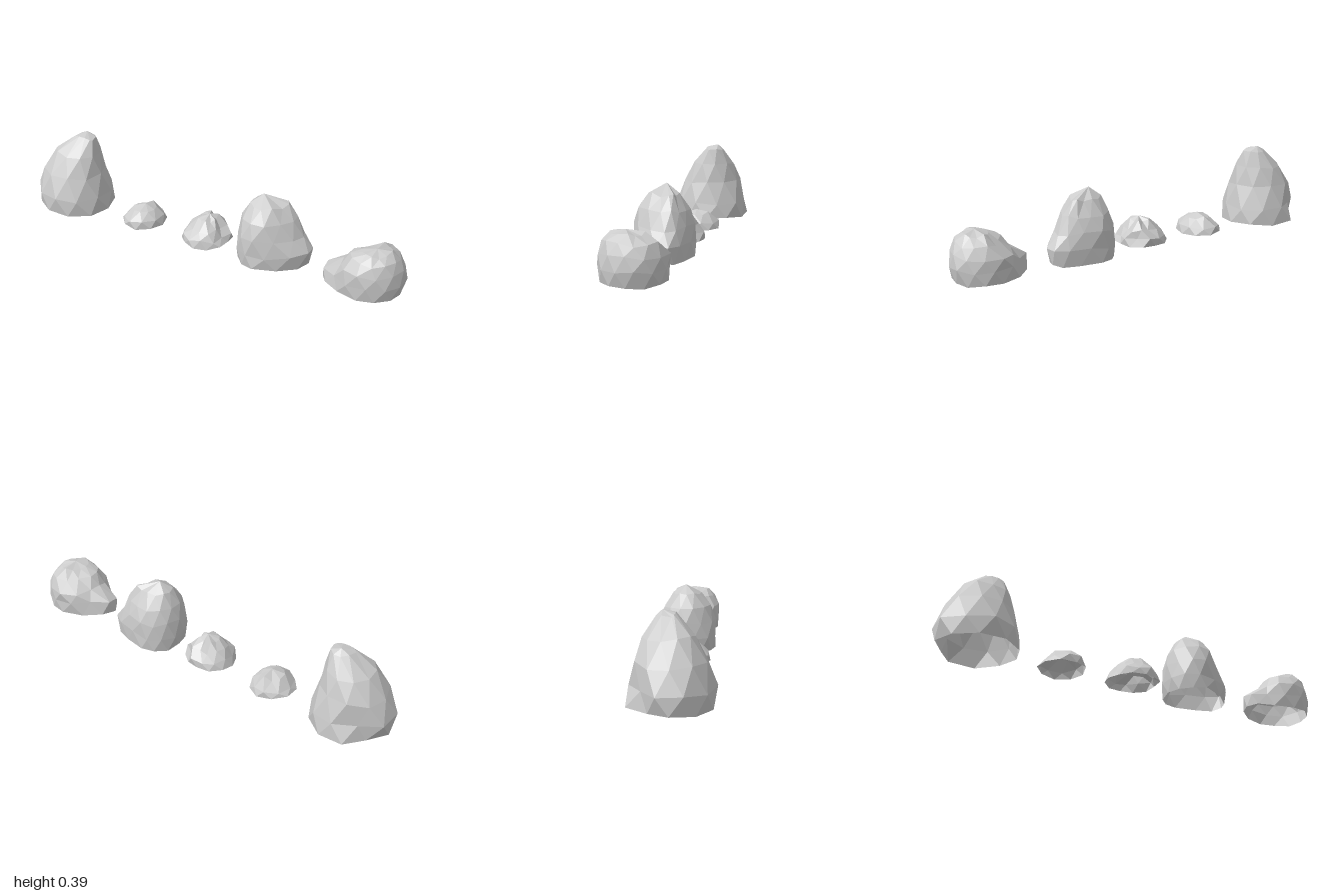
import * as THREE from 'three';

// Small seeded generator so every rock keeps the same chips
function seeded(seed) {
  let s = seed;
  return () => {
    s = (s * 16807) % 2147483647;
    return s / 2147483647 - 0.5;
  };
}

/* One hollow, open-bottomed rock lofted from irregular rings.
   rings: [y, xMin, xMax, zMin, zMax], from the ground up
   axis:  [x, z] centre line;  peak: [x, y, z] top point
   tip:   direction of a pointed end along x (+1 / -1), with pinch and z skew
   dents: [ring, side, scale] vertices drawn towards the axis for cracks */
function rockGeometry({ sides, rings, axis, peak, tip = 0, pinch = 0, skew = 0, dents = [], rough = 0.06, seed }) {
  const rand = seeded(seed);
  const [cx, cz] = axis;
  const pos = [];
  rings.forEach(([y, x0, x1, z0, z1], r) => {
    const mx = r > rings.length - 3 ? (x0 + x1) / 2 : cx;
    for (let i = 0; i < sides; i++) {
      const a = ((i + (r % 2) / 2) / sides) * Math.PI * 2;
      const c = Math.cos(a), s = Math.sin(a);
      const t = Math.max(0, c * tip);
      const dent = dents.find(d => d[0] === r && d[1] === i);
      const k = (1 + rand() * rough) * (dent ? dent[2] : 1);
      const dx = (c > 0 ? x1 - mx : mx - x0) * c * k;
      const dz = ((s > 0 ? z1 - cz : cz - z0) * s * (1 - pinch * t) + skew * t * t) * k;
      pos.push(mx + dx, y + rand() * (r === 0 ? 0.012 : 0.02), cz + dz);
    }
  });
  pos.push(...peak);

  const index = [];
  const top = rings.length * sides;
  for (let r = 0; r < rings.length; r++) {
    for (let i = 0; i < sides; i++) {
      const j = (i + 1) % sides;
      const a = r * sides + i, b = r * sides + j;
      if (r === rings.length - 1) { index.push(a, top, b); continue; }
      const c = a + sides, d = b + sides;
      if (r % 2 === 0) index.push(a, c, b, b, c, d);
      else index.push(a, c, d, a, d, b);
    }
  }
  const geo = new THREE.BufferGeometry();
  geo.setAttribute('position', new THREE.Float32BufferAttribute(pos, 3));
  geo.setIndex(index);
  const flat = geo.toNonIndexed();
  flat.computeVertexNormals();
  return flat;
}

const ROCKS = {
  // Tall leaning rock with a notch low at the back
  tallRock: {
    sides: 10, seed: 11, axis: [-0.79, 0], peak: [-0.74, 0.4, -0.04], rough: 0.05,
    rings: [
      [0.014, -0.99, -0.6, -0.185, 0.18],
      [0.095, -1.0, -0.615, -0.18, 0.19],
      [0.2, -0.955, -0.64, -0.15, 0.15],
      [0.3, -0.89, -0.66, -0.12, 0.095],
      [0.378, -0.79, -0.68, -0.07, 0.015],
    ],
    dents: [[0, 6, 0.84], [1, 6, 0.8], [0, 7, 1.04]],
  },
  // Smallest low pebble
  smallPebble: {
    sides: 9, seed: 23, axis: [-0.38, 0], peak: [-0.37, 0.108, 0],
    rings: [
      [0.018, -0.49, -0.27, -0.12, 0.115],
      [0.05, -0.475, -0.285, -0.11, 0.11],
      [0.088, -0.43, -0.32, -0.06, 0.06],
    ],
  },
  // Cracked pebble, broken up on one side
  crackedPebble: {
    sides: 12, seed: 37, axis: [-0.015, 0.005], peak: [0, 0.155, 0], rough: 0.1,
    rings: [
      [0.028, -0.14, 0.11, -0.115, 0.13],
      [0.06, -0.125, 0.11, -0.115, 0.125],
      [0.1, -0.095, 0.085, -0.09, 0.095],
      [0.135, -0.055, 0.04, -0.05, 0.05],
    ],
    dents: [[1, 0, 0.82], [2, 0, 0.75], [2, 1, 0.82], [1, 10, 0.84], [2, 9, 0.75], [3, 9, 0.7], [3, 11, 0.8]],
  },
  // Upright rounded rock, wedge-shaped towards one end
  roundRock: {
    sides: 12, seed: 53, axis: [0.31, 0.005], peak: [0.29, 0.343, 0], rough: 0.04,
    tip: 1, pinch: 0.25, skew: -0.04,
    rings: [
      [0.016, 0.18, 0.52, -0.135, 0.148],
      [0.085, 0.172, 0.53, -0.14, 0.153],
      [0.16, 0.18, 0.485, -0.137, 0.15],
      [0.235, 0.195, 0.445, -0.112, 0.128],
      [0.3, 0.232, 0.4, -0.065, 0.078],
    ],
  },
  // Broad low rock with a split shoulder
  splitRock: {
    sides: 12, seed: 71, axis: [0.83, 0.005], peak: [0.87, 0.242, 0.03], rough: 0.04,
    tip: -1, pinch: 0.2, skew: 0.03,
    rings: [
      [0.028, 0.625, 0.985, -0.138, 0.147],
      [0.09, 0.625, 1.0, -0.143, 0.155],
      [0.145, 0.685, 0.99, -0.143, 0.152],
      [0.195, 0.75, 0.965, -0.11, 0.13],
      [0.23, 0.81, 0.93, -0.05, 0.095],
    ],
    dents: [[2, 5, 0.86], [2, 6, 0.8], [2, 7, 0.82], [3, 7, 0.82], [1, 4, 0.88], [1, 7, 0.88], [3, 8, 0.85]],
  },
};

export function createModel() {
  const group = new THREE.Group();
  group.name = 'rocks';
  const stone = new THREE.MeshStandardMaterial({
    color: 0xcccccc, flatShading: true, side: THREE.DoubleSide,
  });
  for (const [name, spec] of Object.entries(ROCKS)) {
    const rock = new THREE.Mesh(rockGeometry(spec), stone);
    rock.name = name;
    group.add(rock);
  }

  // Rest the lowest rim on the ground
  group.position.y = -new THREE.Box3().setFromObject(group).min.y;
  return group;
}
